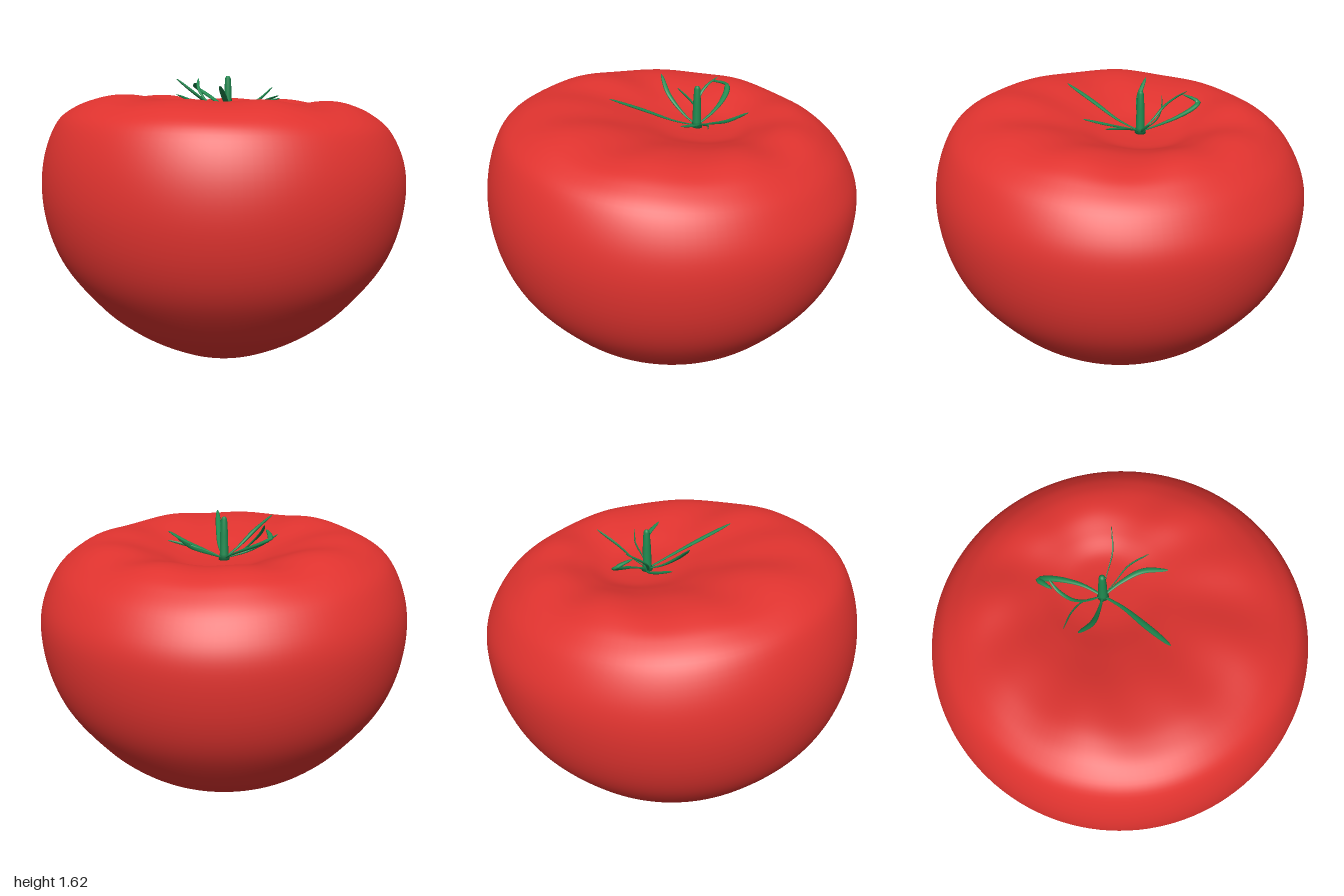
import * as THREE from 'three';
import { mergeVertices } from 'three/addons/utils/BufferGeometryUtils.js';

const red = new THREE.MeshStandardMaterial({ color: 0xe0332f });
const green = new THREE.MeshStandardMaterial({ color: 0x1f8a50, side: THREE.DoubleSide });
const BASE = [0.02, 1.405, -0.13]; // where the stalk meets the fruit
const smooth = THREE.MathUtils.smoothstep;
const rad = THREE.MathUtils.degToRad;

// Fruit: a turned profile, then an off-centre dimple, a tilted shoulder and soft lobes
function fruitGeometry() {
  const profile = [
    [0, 0.003], [0.05, 0.013], [0.12, 0.048], [0.2, 0.08], [0.33, 0.127], [0.49, 0.21], [0.62, 0.303],
    [0.74, 0.42], [0.89, 0.62], [0.968, 0.81], [0.997, 1.02], [0.975, 1.2], [0.9, 1.36], [0.8, 1.444],
    [0.7, 1.484], [0.6, 1.497], [0.48, 1.488], [0.34, 1.453], [0.21, 1.412], [0.1, 1.399], [0, 1.397],
  ].map(([r, y]) => new THREE.Vector2(r, y));
  const points = new THREE.SplineCurve(profile).getPoints(120);
  points[0].x = points[points.length - 1].x = 0;
  const lathe = new THREE.LatheGeometry(points, 128);
  const pos = lathe.attributes.position;
  for (let i = 0; i < pos.count; i++) {
    let x = pos.getX(i), y = pos.getY(i), z = pos.getZ(i);
    const r = Math.hypot(x, z), a = Math.atan2(z, x);
    if (y > 1.02) {
      const ring = Math.exp(-(((r - 0.6) / 0.2) ** 2)) * smooth(r, 0, 0.3);
      y += smooth(y, 1.02, 1.42) * (0.062 * z - 0.03 * x);
      y += ring * (0.007 * Math.cos(9 * (a - rad(110))) + 0.006 * Math.cos(5 * (a - rad(150))));
      const shift = 1 - smooth(r, 0, 0.9);
      x += 0.05 * shift;
      z -= 0.16 * shift;
    } else {
      z += 0.04 * (1 - smooth(r, 0.1, 0.6)); // tip sits slightly forward
    }
    pos.setXYZ(i, x, y, z);
  }
  lathe.deleteAttribute('uv');
  lathe.deleteAttribute('normal');
  const geometry = mergeVertices(lathe, 1e-5);
  geometry.computeVertexNormals();
  return geometry;
}

// Sepal: an elliptical section swept along a curve, broad past the middle and closed at the tip
function sepalGeometry(path, width, thickness) {
  const curve = new THREE.CatmullRomCurve3([BASE, ...path].map((p) => new THREE.Vector3(...p)));
  const rows = 28, sides = 8, vertices = [], indices = [];
  const up = new THREE.Vector3(0, 1, 0);
  for (let i = 0; i <= rows; i++) {
    const t = i / rows;
    const p = curve.getPointAt(t), tangent = curve.getTangentAt(t);
    const across = new THREE.Vector3().crossVectors(tangent, up).normalize();
    const normal = new THREE.Vector3().crossVectors(across, tangent);
    const size = (0.4 + 0.6 * smooth(t, 0, 0.75)) * Math.sqrt(1 - 0.98 * t ** 5);
    for (let j = 0; j < sides; j++) {
      const a = (j / sides) * Math.PI * 2;
      const v = p.clone().addScaledVector(across, Math.cos(a) * width * size / 2)
        .addScaledVector(normal, Math.sin(a) * thickness * size / 2);
      vertices.push(v.x, v.y, v.z);
      if (i < rows) {
        const k = i * sides + j, n = i * sides + (j + 1) % sides;
        indices.push(k, n, k + sides, n, n + sides, k + sides);
      }
    }
  }
  const geometry = new THREE.BufferGeometry();
  geometry.setAttribute('position', new THREE.Float32BufferAttribute(vertices, 3));
  geometry.setIndex(indices);
  geometry.computeVertexNormals();
  return geometry;
}

export function createModel() {
  const model = new THREE.Group();
  model.name = 'tomato';
  const add = (name, geometry, material, parent = model) => {
    const mesh = new THREE.Mesh(geometry, material);
    mesh.name = name;
    parent.add(mesh);
    return mesh;
  };

  add('fruit', fruitGeometry(), red);

  // Stalk, wider at its foot and narrowing to a blunt top
  const stalk = [[0, 0], [0.03, 0], [0.023, 0.03], [0.021, 0.13], [0.016, 0.21], [0.01, 0.222], [0, 0.225]]
    .map(([r, y]) => new THREE.Vector2(r, y));
  add('stalk', new THREE.LatheGeometry(stalk, 16), green).position.set(BASE[0], 1.398, BASE[2]);

  // Sepals: path points after the base, width, thickness
  const sepals = [
    [[[0.025, 1.45, 0], [0.005, 1.52, 0.16], [-0.015, 1.59, 0.33]], 0.034, 0.014],
    [[[0.12, 1.45, -0.1], [0.22, 1.49, -0.05], [0.295, 1.525, 0.05]], 0.032, 0.012],
    [[[-0.06, 1.45, -0.08], [-0.16, 1.53, -0.03], [-0.26, 1.61, -0.02]], 0.03, 0.018],
    [[[0.1, 1.44, -0.125], [0.2, 1.475, -0.125], [0.31, 1.5, -0.085]], 0.008, 0.016],
    [[[0.1, 1.44, -0.18], [0.2, 1.485, -0.23], [0.28, 1.55, -0.31]], 0.008, 0.018],
    // folds back over itself near the tip
    [[[-0.02, 1.45, -0.23], [-0.08, 1.49, -0.31], [-0.14, 1.525, -0.36],
      [-0.172, 1.545, -0.37], [-0.176, 1.56, -0.34], [-0.172, 1.575, -0.28]], 0.036, 0.02],
    [[[-0.07, 1.45, -0.16], [-0.13, 1.51, -0.195], [-0.155, 1.56, -0.25], [-0.155, 1.6, -0.31]], 0.022, 0.012],
    [[[-0.08, 1.44, -0.17], [-0.17, 1.475, -0.16], [-0.27, 1.52, -0.115]], 0.008, 0.016],
  ];
  const calyx = new THREE.Group();
  calyx.name = 'calyx';
  model.add(calyx);
  sepals.forEach(([path, width, thickness], i) =>
    add(`sepal${i + 1}`, sepalGeometry(path, width, thickness), green, calyx));

  return model;
}
